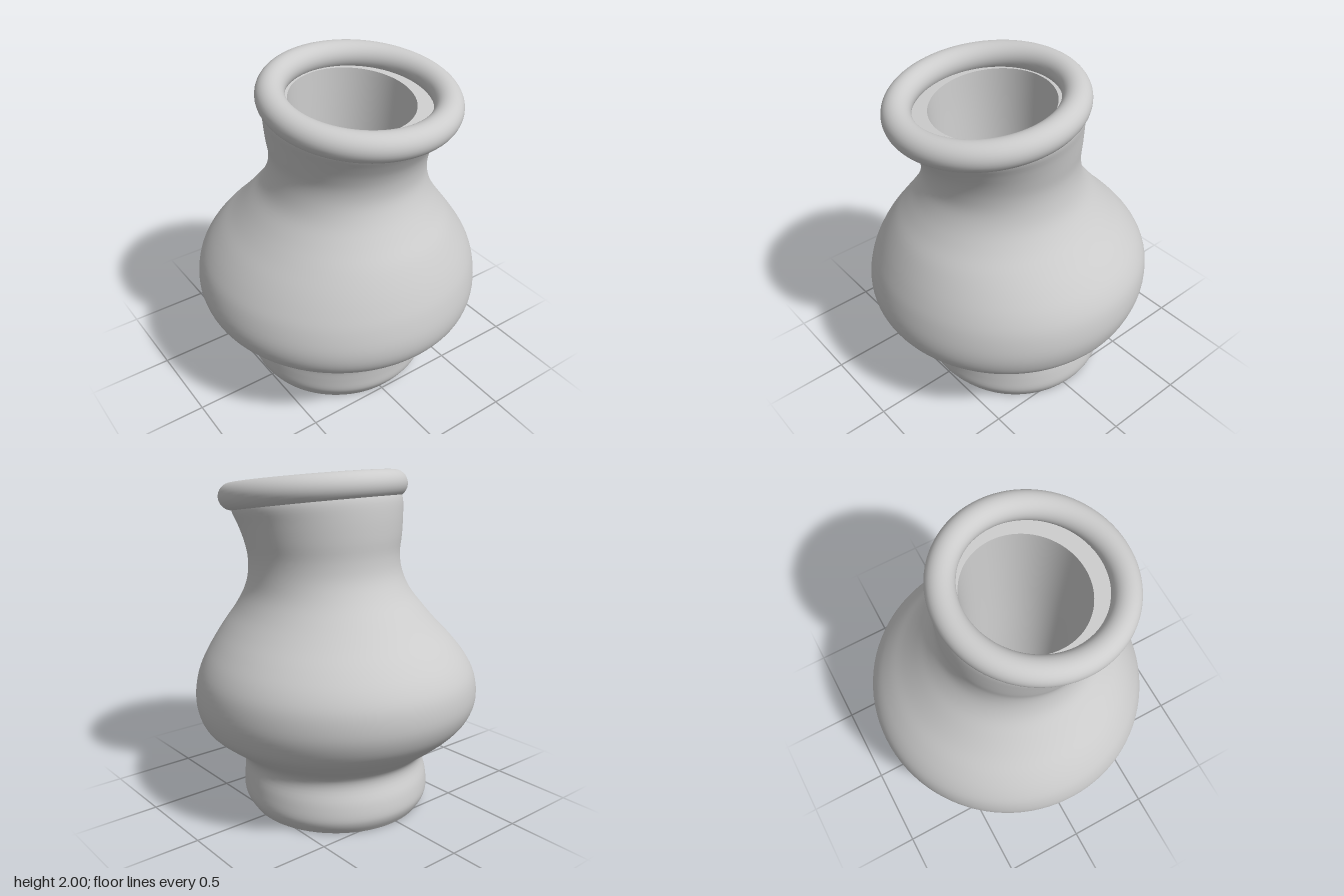
import * as THREE from 'three';

const SLOPE = 0.127; // forward tilt of the mouth

// Joins elliptical rings [cx, y, cz, rx, rz, slope] into a smooth surface.
function loft(rings, steps = 1, n = 96) {
  const centres = new THREE.CatmullRomCurve3(rings.map(r => new THREE.Vector3(r[0], r[1], r[2])), false, 'catmullrom');
  const sizes = new THREE.CatmullRomCurve3(rings.map(r => new THREE.Vector3(r[3], r[4], r[5] || 0)), false, 'catmullrom');
  const rows = (rings.length - 1) * steps;
  const pos = [], idx = [];
  for (let i = 0; i <= rows; i++) {
    const c = centres.getPoint(i / rows), s = sizes.getPoint(i / rows);
    for (let j = 0; j < n; j++) {
      const a = j / n * Math.PI * 2, z = Math.sin(a) * s.y;
      pos.push(c.x + Math.cos(a) * s.x, c.y - s.z * z, c.z + z);
      if (i < rows) {
        const k = (j + 1) % n, p = i * n, q = p + n;
        idx.push(p + j, q + j, p + k, p + k, q + j, q + k);
      }
    }
  }
  const g = new THREE.BufferGeometry();
  g.setAttribute('position', new THREE.Float32BufferAttribute(pos, 3));
  g.setIndex(idx);
  g.computeVertexNormals();
  return g;
}

export function createModel() {
  const group = new THREE.Group();
  const clay = new THREE.MeshStandardMaterial({ color: 0xcccccc });
  clay.name = 'pale grey clay';
  const add = (name, geometry) => {
    const mesh = new THREE.Mesh(geometry, clay);
    mesh.name = name;
    group.add(mesh);
    return mesh;
  };

  // Outer wall outline: y, left x, right x, back z, front z, slope
  const outline = [
    [0, -0.49, 0.545, -0.55, 0.48, 0],
    [0.05, -0.52, 0.575, -0.58, 0.515, 0],
    [0.1, -0.535, 0.585, -0.59, 0.54, 0],
    [0.18, -0.535, 0.575, -0.575, 0.545, 0],
    [0.27, -0.53, 0.56, -0.54, 0.555, 0],
    [0.34, -0.57, 0.59, -0.56, 0.595, 0],
    [0.42, -0.68, 0.69, -0.66, 0.70, 0],
    [0.5, -0.775, 0.785, -0.75, 0.795, 0],
    [0.58, -0.828, 0.825, -0.81, 0.84, 0],
    [0.68, -0.845, 0.842, -0.842, 0.848, 0],
    [0.8, -0.82, 0.828, -0.835, 0.825, 0],
    [0.9, -0.77, 0.785, -0.79, 0.79, 0],
    [1.0, -0.70, 0.715, -0.71, 0.745, 0],
    [1.1, -0.615, 0.635, -0.61, 0.69, 0],
    [1.2, -0.535, 0.56, -0.52, 0.62, 0],
    [1.3, -0.465, 0.505, -0.44, 0.56, 0],
    [1.4, -0.43, 0.48, -0.385, 0.525, 0.01],
    [1.5, -0.42, 0.475, -0.367, 0.525, 0.03],
    [1.6, -0.44, 0.49, -0.37, 0.548, 0.06],
    [1.7, -0.46, 0.51, -0.367, 0.59, 0.1],
    [1.78, -0.475, 0.53, -0.355, 0.63, SLOPE],
    [1.84, -0.46, 0.52, -0.325, 0.65, SLOPE],
  ];
  add('body', loft(outline.map(([y, l, r, b, f, s]) =>
    [(l + r) / 2, y, (b + f) / 2, (r - l) / 2, (f - b) / 2, s]), 4));

  // Flat underside
  add('base', loft([[0.0275, 0, -0.035, 0, 0], [0.0275, 0, -0.035, 0.5175, 0.515]]));

  // Thick rolled lip
  const lip = add('rim', new THREE.TorusGeometry(0.475, 0.08, 32, 112));
  lip.position.set(0.03, 1.86, 0.175);
  lip.rotation.x = Math.PI / 2 + Math.atan(SLOPE);

  // Ledge inside the lip, hollow and its floor
  const mouth = [0.02, 1.826, 0.125, 0.35, 0.345, SLOPE];
  const bottom = [0.03, 0.2, 0.095, 0.235, 0.295, 0];
  add('ledge', loft([[0.03, 1.82, 0.175, 0.47, 0.465, SLOPE], mouth]));
  add('innerWall', loft([
    mouth,
    [0.02, 1.6, 0.12, 0.335, 0.335, 0.08],
    [0.022, 1.2, 0.11, 0.305, 0.32, 0.03],
    [0.026, 0.7, 0.1, 0.265, 0.305, 0],
    bottom,
  ], 6));
  add('innerFloor', loft([bottom, [0.03, 0.2, 0.095, 0, 0, 0]]));

  return group;
}
